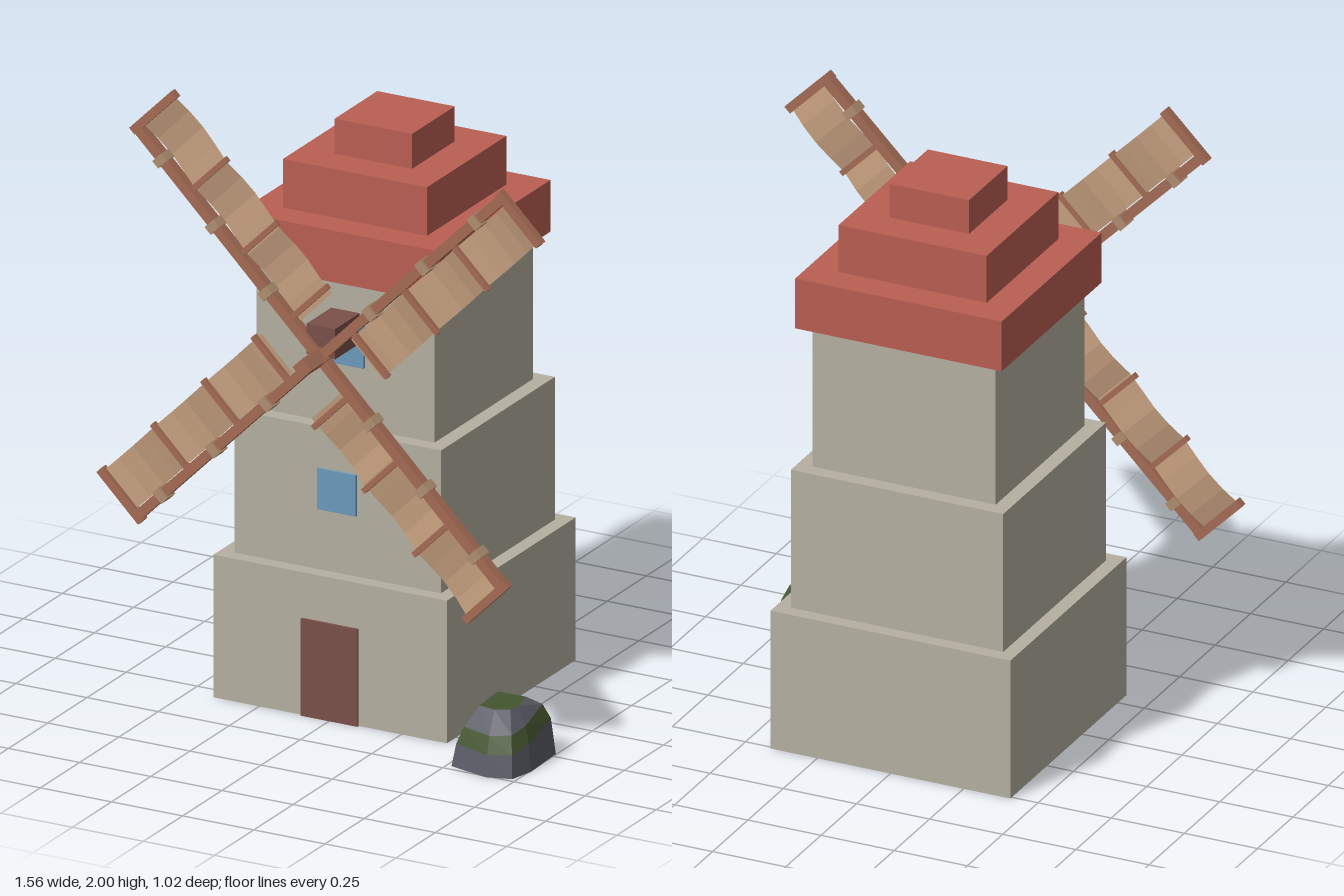
import * as THREE from 'three';

const mat = (name, color, side = THREE.FrontSide) => {
  const m = new THREE.MeshStandardMaterial({ color, side });
  m.name = name;
  return m;
};

export function createModel() {
  const stone = mat('stone', 0xb5b0a1);
  const roofRed = mat('roof red', 0xba5f52);
  const darkWood = mat('dark wood', 0x7a5149);
  const wood = mat('sail wood', 0xa56c55);
  const glass = mat('window blue', 0x6c9abb);
  const canvas = mat('canvas', 0xc09b7b, THREE.DoubleSide);
  const rope = mat('rope', 0xb08e70);
  const rock = mat('rock grey', 0x5a5c66);
  const moss = mat('moss green', 0x43552f);

  const model = new THREE.Group();
  model.name = 'windmill';

  const box = (parent, name, material, size, pos) => {
    const mesh = new THREE.Mesh(new THREE.BoxGeometry(...size), material);
    mesh.position.set(...pos);
    mesh.name = name;
    parent.add(mesh);
    return mesh;
  };

  // Square tiers of the tower and the stepped roof: [half width, bottom, top]
  const tier = (name, material, [half, y0, y1]) =>
    box(model, name, material, [half * 2, y1 - y0, half * 2], [0, (y0 + y1) / 2, -0.1]);
  [[0.41, 0, 0.47], [0.363, 0.47, 0.94], [0.313, 0.94, 1.42]]
    .forEach((t, i) => tier('towerTier' + (i + 1), stone, t));
  [[0.353, 1.42, 1.59], [0.253, 1.59, 1.75], [0.136, 1.75, 1.865]]
    .forEach((t, i) => tier('roofTier' + (i + 1), roofRed, t));

  // Door and windows
  box(model, 'door', darkWood, [0.2, 0.32, 0.009], [0, 0.16, 0.3145]);
  box(model, 'lowerWindow', glass, [0.136, 0.135, 0.009], [0, 0.738, 0.2675]);
  box(model, 'upperWindow', glass, [0.136, 0.135, 0.009], [0, 1.208, 0.2175]);

  // Shaft housing and the axle that carries the sails
  box(model, 'shaftHousing', darkWood, [0.1, 0.1, 0.16], [0, 1.268, 0.29]);
  const axle = box(model, 'axle', wood, [0.047, 0.047, 0.235], [0, 1.218, 0.373]);
  axle.rotation.z = Math.PI / 4;

  // Canvas sags gently between the rungs
  const rungs = [0.15, 0.4, 0.65, 0.907];
  const sailGeometry = () => {
    const g = new THREE.PlaneGeometry(0.155, 0.78, 1, 12);
    g.translate(0.0975, 0.515, 0);
    const p = g.attributes.position;
    for (let i = 0; i < p.count; i++) {
      const s = (p.getY(i) - rungs[0]) / 0.252;
      p.setZ(i, -0.02 * Math.abs(Math.sin(Math.PI * s)));
    }
    const flat = g.toNonIndexed();
    flat.computeVertexNormals();
    return flat;
  };

  // Four sails, each built pointing up and turned about the hub
  const sails = new THREE.Group();
  sails.name = 'sails';
  sails.position.set(0, 1.218, 0.37);
  model.add(sails);
  for (let k = 0; k < 4; k++) {
    const sail = new THREE.Group();
    sail.name = 'sail' + (k + 1);
    sail.rotation.z = Math.PI / 4 + k * Math.PI / 2;
    box(sail, 'spar', wood, [0.032, 0.915, 0.034], [0, 0.4575, 0]);
    rungs.forEach((u, i) => {
      const end = i === 3;
      box(sail, 'rung', wood, [end ? 0.207 : 0.19, end ? 0.027 : 0.018, end ? 0.027 : 0.018],
        [end ? 0.0815 : 0.09, u, 0]);
    });
    [0.258, 0.52, 0.78].forEach(u =>
      box(sail, 'ropeBinding', rope, [0.044, 0.03, 0.054], [0, u, 0]));
    const cloth = new THREE.Mesh(sailGeometry(), canvas);
    cloth.name = 'sailCloth';
    sail.add(cloth);
    sails.add(sail);
  }

  // Rock: rings of [x, z] blended from ground outline to a small top
  const ground = [[0.496, 0.227], [0.747, 0.227], [0.755, 0.4], [0.735, 0.483], [0.655, 0.508], [0.517, 0.475]];
  const top = [[0.575, 0.28], [0.672, 0.28], [0.69, 0.36], [0.683, 0.4], [0.64, 0.425], [0.582, 0.415]];
  const ring = (t, y, rise) => ground.map(([x, z], i) => {
    const px = x + (top[i][0] - x) * t, pz = z + (top[i][1] - z) * t;
    return [px, y + rise * (0.48 - pz), pz];
  });
  const rings = [ring(0, 0, 0), ring(0.17, 0.07, 0.2), ring(0.45, 0.12, 0.2), ring(1, 0.192, 0)];
  const facets = (name, material, tris) => {
    const g = new THREE.BufferGeometry();
    g.setAttribute('position', new THREE.Float32BufferAttribute(tris.flat(2), 3));
    g.computeVertexNormals();
    const mesh = new THREE.Mesh(g, material);
    mesh.name = name;
    boulder.add(mesh);
  };
  const band = (lo, hi) => lo.flatMap((a, i) => {
    const j = (i + 1) % lo.length;
    return [[a, hi[i], hi[j]], [a, hi[j], lo[j]]];
  });
  const cap = (r, up) => r.slice(2).map((c, i) => up ? [r[0], c, r[i + 1]] : [r[0], r[i + 1], c]);
  const boulder = new THREE.Group();
  boulder.name = 'boulder';
  model.add(boulder);
  facets('rockBody', rock, [...cap(rings[0], false), ...band(rings[0], rings[1]), ...band(rings[2], rings[3])]);
  facets('mossBand', moss, band(rings[1], rings[2]));
  facets('mossTop', moss, cap(rings[3], true));

  return model;
}
